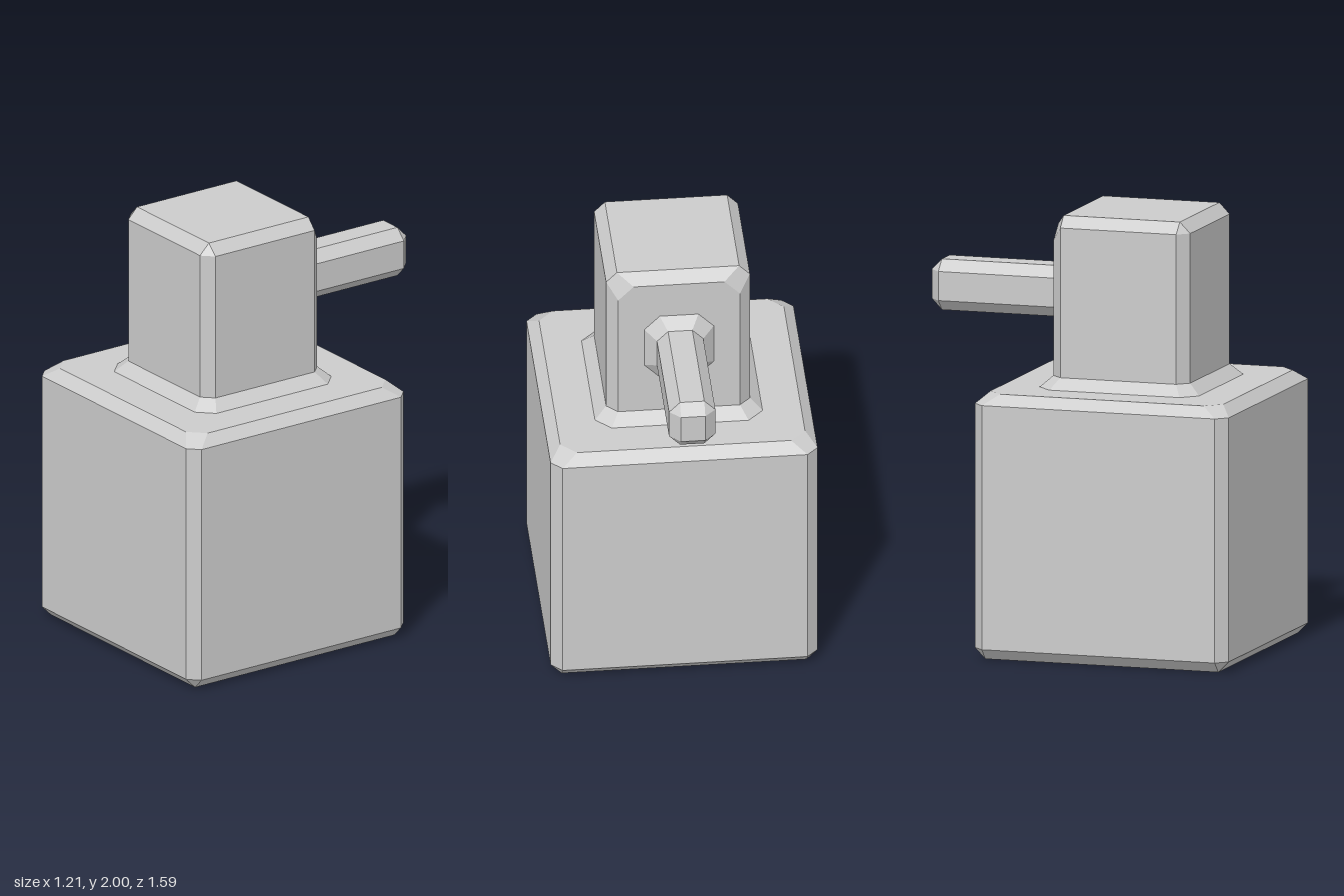
import * as THREE from 'three';
import { ConvexGeometry } from 'three/addons/geometries/ConvexGeometry.js';

const CENTER_Z = 0.1875; // axis of body and head
const SPOUT_Y = 1.6125;  // axis of spout

// Corners of a rectangle (half sizes a, b) with its corners cut by c
function cutRect(a, b, c) {
  const pts = [];
  for (const sa of [-1, 1]) for (const sb of [-1, 1]) {
    pts.push([sa * a, sb * (b - c)]);
    if (c > 0) pts.push([sa * (a - c), sb * b]);
  }
  return pts;
}

// Horizontal section at height y, and upright section at depth z
const level = (y, half, cut) =>
  cutRect(half, half, cut).map(([x, z]) => new THREE.Vector3(x, y, z + CENTER_Z));
const upright = (z, a, b, cut) =>
  cutRect(a, b, cut).map(([x, y]) => new THREE.Vector3(x, y + SPOUT_Y, z));

export function createModel() {
  const group = new THREE.Group();
  const material = new THREE.MeshStandardMaterial({ color: 0xcccccc, flatShading: true });

  // Every part is a convex bevelled solid spanned by its sections
  const add = (name, ...sections) => {
    const mesh = new THREE.Mesh(new ConvexGeometry(sections.flat()), material);
    mesh.name = name;
    group.add(mesh);
  };

  // Bottle body: sharp bevel below, wider corner cuts on the shoulder
  add('body',
    level(0, 0.555, 0), level(0.05, 0.605, 0.05),
    level(1.167, 0.605, 0.05), level(1.215, 0.555, 0.07));

  // Flared collar where the head rises from the body
  add('collar', level(1.215, 0.38, 0.07), level(1.265, 0.326, 0.05));

  // Pump head; the back face has its two top corners cut
  const head = level(1.95, 0.326, 0.05).filter((p) => p.z > -0.13);
  for (const s of [-1, 1]) {
    head.push(new THREE.Vector3(s * 0.276, 1.88, CENTER_Z - 0.326));
    head.push(new THREE.Vector3(s * 0.206, 1.95, CENTER_Z - 0.326));
  }
  add('head', level(1.265, 0.326, 0.05), head, level(2, 0.277, 0));

  // Flared spout root and the spout itself, pointing backwards
  add('spoutCollar', upright(-0.138, 0.158, 0.168, 0.07), upright(-0.19, 0.105, 0.1165, 0.05));
  add('spout',
    upright(-0.18, 0.105, 0.1165, 0.05), upright(-0.745, 0.105, 0.1165, 0.05),
    upright(-0.793, 0.055, 0.0665, 0));

  return group;
}
